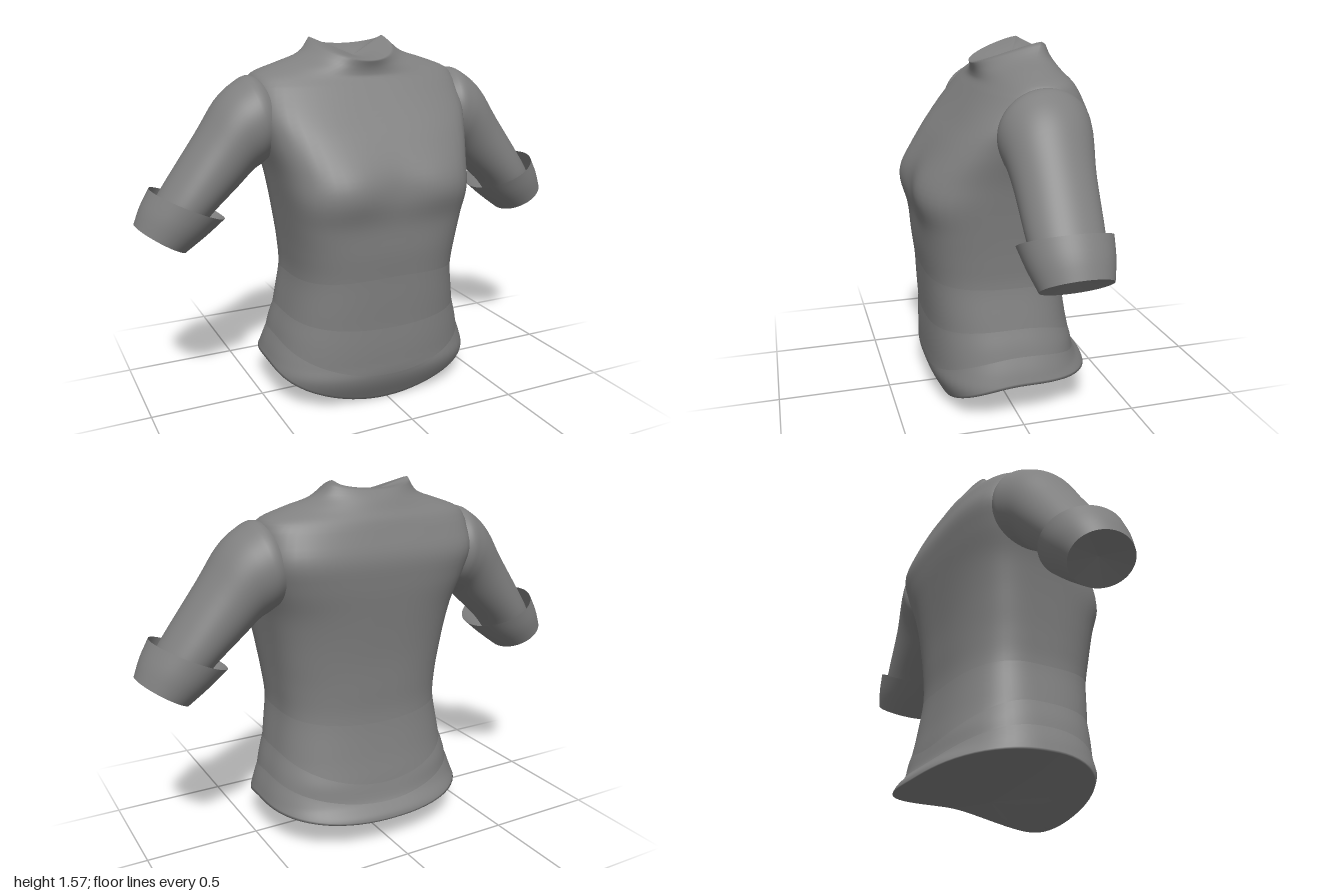
import * as THREE from 'three';

const SEG = 72;
const material = new THREE.MeshStandardMaterial({ color: 0x808080, side: THREE.DoubleSide });

// Smooth surface through a list of closed rings of points
function loft(name, rings) {
  const n = rings[0].length, index = [];
  for (let k = 0; k < rings.length - 1; k++) {
    for (let i = 0; i < n; i++) {
      const a = k * n + i, b = k * n + (i + 1) % n;
      index.push(a, b, b + n, a, b + n, a + n);
    }
  }
  const geometry = new THREE.BufferGeometry().setFromPoints(rings.flat());
  geometry.setIndex(index);
  geometry.computeVertexNormals();
  const mesh = new THREE.Mesh(geometry, material);
  mesh.name = name;
  return mesh;
}

const ringOf = (fn) => Array.from({ length: SEG }, (_, i) => fn(i / SEG * Math.PI * 2));
const pointRing = (x, y, z) => ringOf(() => new THREE.Vector3(x, y, z));

// Smooth interpolation through rows whose first entry is the parameter
function table(rows) {
  const size = rows[0].length - 1;
  const curve = new THREE.CubicInterpolant(
    rows.map((r) => r[0]), rows.flatMap((r) => r.slice(1)), size, new Float32Array(size));
  return (t) => Array.from(curve.evaluate(t));
}

// Height that changes smoothly from front to side to back
function around(a, front, side, back, power = 2.4) {
  const c = Math.cos(a);
  return side + ((c > 0 ? front : back) - side) * Math.abs(c) ** power;
}

// Rounded-box section with separate front and back depth
function sectionPoint(a, y, [w, zf, zb, zm, nf, nb]) {
  const s = Math.sin(a), c = Math.cos(a), n = c > 0 ? nf : nb;
  const r = (Math.abs(s) ** n + Math.abs(c) ** n) ** (-1 / n);
  return new THREE.Vector3(w * r * s, y, zm + r * c * (c > 0 ? zf - zm : zm - zb));
}

// Torso by height: half width, front z, back z, widest z, front and back squareness
const torso = table([
  [0, 0.49, 0.268, -0.39, -0.02, 2.6, 2.6],
  [0.14, 0.486, 0.33, -0.388, -0.02, 2.7, 2.6],
  [0.2, 0.466, 0.331, -0.342, -0.02, 2.7, 2.6],
  [0.3, 0.433, 0.331, -0.316, -0.02, 2.8, 2.6],
  [0.4, 0.404, 0.331, -0.295, -0.02, 3, 2.6],
  [0.57, 0.375, 0.339, -0.276, -0.02, 3.3, 2.6],
  [0.7, 0.382, 0.352, -0.28, -0.02, 3.6, 2.6],
  [0.82, 0.395, 0.358, -0.287, -0.03, 4.2, 2.7],
  [0.94, 0.411, 0.372, -0.3, -0.04, 4.6, 2.8],
  [1.04, 0.428, 0.355, -0.313, -0.05, 4, 3],
  [1.17, 0.462, 0.28, -0.329, -0.07, 3.8, 3.6],
  [1.27, 0.482, 0.2, -0.333, -0.08, 3.8, 4],
  [1.38, 0.485, 0.115, -0.3, -0.09, 3, 3],
]);

// Shoulders to collar rim: section as above, then front, side and back height
const shoulders = table([
  [0, 0.485, 0.115, -0.3, -0.09, 3, 3, 1.38, 1.38, 1.38],
  [1, 0.46, 0.092, -0.285, -0.1, 2.4, 2.4, 1.41, 1.432, 1.42],
  [2, 0.35, 0.087, -0.265, -0.1, 2.2, 2.2, 1.43, 1.474, 1.455],
  [3, 0.24, 0.09, -0.24, -0.12, 2.2, 2.2, 1.455, 1.512, 1.5],
  [4, 0.178, 0.1, -0.208, -0.16, 2.2, 2.4, 1.484, 1.574, 1.54],
]);

// Seam heights (front, side, back), from the hem up to the waist
const SEAMS = [[0, 0.17, 0.125], [0.14, 0.285, 0.19], [0.36, 0.4, 0.27], [0.595, 0.575, 0.54]];

function chest(a, y) {
  const p = sectionPoint(a, y, torso(y));
  if (Math.cos(a) > 0) {
    const d = ((Math.abs(p.x) - 0.2) / 0.13) ** 2 + ((y - 0.98) / 0.1) ** 2;
    p.z += 0.02 * Math.exp(-d);
  }
  return p;
}

function buildTorso(group) {
  // Bodice, shoulders and collar, closed by a shallow dip at the neck
  const rings = [];
  for (let k = 0; k <= 32; k++) {
    rings.push(ringOf((a) => chest(a, THREE.MathUtils.lerp(around(a, ...SEAMS[3]), 1.38, k / 32))));
  }
  for (let k = 1; k <= 16; k++) {
    const v = shoulders(k / 4);
    const power = 2.4 - 0.28 * k / 4;
    rings.push(ringOf((a) => sectionPoint(a, around(a, v[6], v[7], v[8], power), v)));
  }
  const rim = rings.at(-1), dip = new THREE.Vector3(0, 1.495, -0.08);
  rings.push(rim.map((p) => p.clone().lerp(dip, 0.5)), pointRing(...dip));
  group.add(loft('bodice', rings));

  // Three gently bulging tiers below the waist, the lowest closed underneath
  ['hemBand', 'hipBand', 'waistBand'].forEach((name, b) => {
    const tier = b === 0 ? [pointRing(0, 0.085, -0.02)] : [];
    for (let k = 0; k <= 10; k++) {
      const t = k / 10, bulge = 1 + 0.008 * Math.sin(Math.PI * t);
      tier.push(ringOf((a) => {
        const y = THREE.MathUtils.lerp(around(a, ...SEAMS[b]), around(a, ...SEAMS[b + 1]), t);
        const p = sectionPoint(a, y, torso(y));
        p.x *= bulge;
        p.z *= bulge;
        return p;
      }));
    }
    group.add(loft(name, tier));
  });
}

// Sleeve stations: upper x, y, lower x, y, half depth, centre z
const sleeve = table([
  [0, 0.38, 1.36, 0.36, 1.1, 0.14, -0.08],
  [1, 0.475, 1.425, 0.43, 1.07, 0.188, -0.08],
  [2, 0.55, 1.398, 0.46, 1.05, 0.188, -0.076],
  [3, 0.63, 1.33, 0.5, 1.025, 0.175, -0.072],
  [4, 0.72, 1.2, 0.565, 0.965, 0.16, -0.067],
  [5, 0.885, 0.97, 0.68, 0.865, 0.147, -0.06],
  [6, 0.94, 0.88, 0.74, 0.79, 0.13, -0.06],
]);
const cuff = table([
  [0, 0.93, 0.985, 0.63, 0.84, 0.182, -0.055],
  [1, 0.972, 0.91, 0.71, 0.775, 0.165, -0.058],
  [2, 1, 0.84, 0.8, 0.71, 0.14, -0.06],
]);

function armRing(side, [ux, uy, lx, ly, depth, z]) {
  return ringOf((a) => {
    const t = (1 + Math.cos(a)) / 2;
    return new THREE.Vector3(side * (lx + (ux - lx) * t), ly + (uy - ly) * t,
      z + side * depth * Math.sin(a));
  });
}

function buildArm(side) {
  const arm = new THREE.Group();
  arm.name = side > 0 ? 'leftArm' : 'rightArm';
  const stations = (fn, end, steps) =>
    Array.from({ length: steps + 1 }, (_, k) => armRing(side, fn(end * k / steps)));
  const cuffRings = stations(cuff, 2, 6);
  arm.add(loft('sleeve', stations(sleeve, 6, 24)));
  arm.add(loft('cuff', cuffRings));
  // Recessed closure inside the cuff
  arm.add(loft('cuffInside', [cuffRings.at(-1), pointRing(side * 0.88, 0.8, -0.06)]));
  return arm;
}

export function createModel() {
  const model = new THREE.Group();
  model.name = 'tieredTop';
  buildTorso(model);
  for (const side of [1, -1]) model.add(buildArm(side));
  return model;
}
